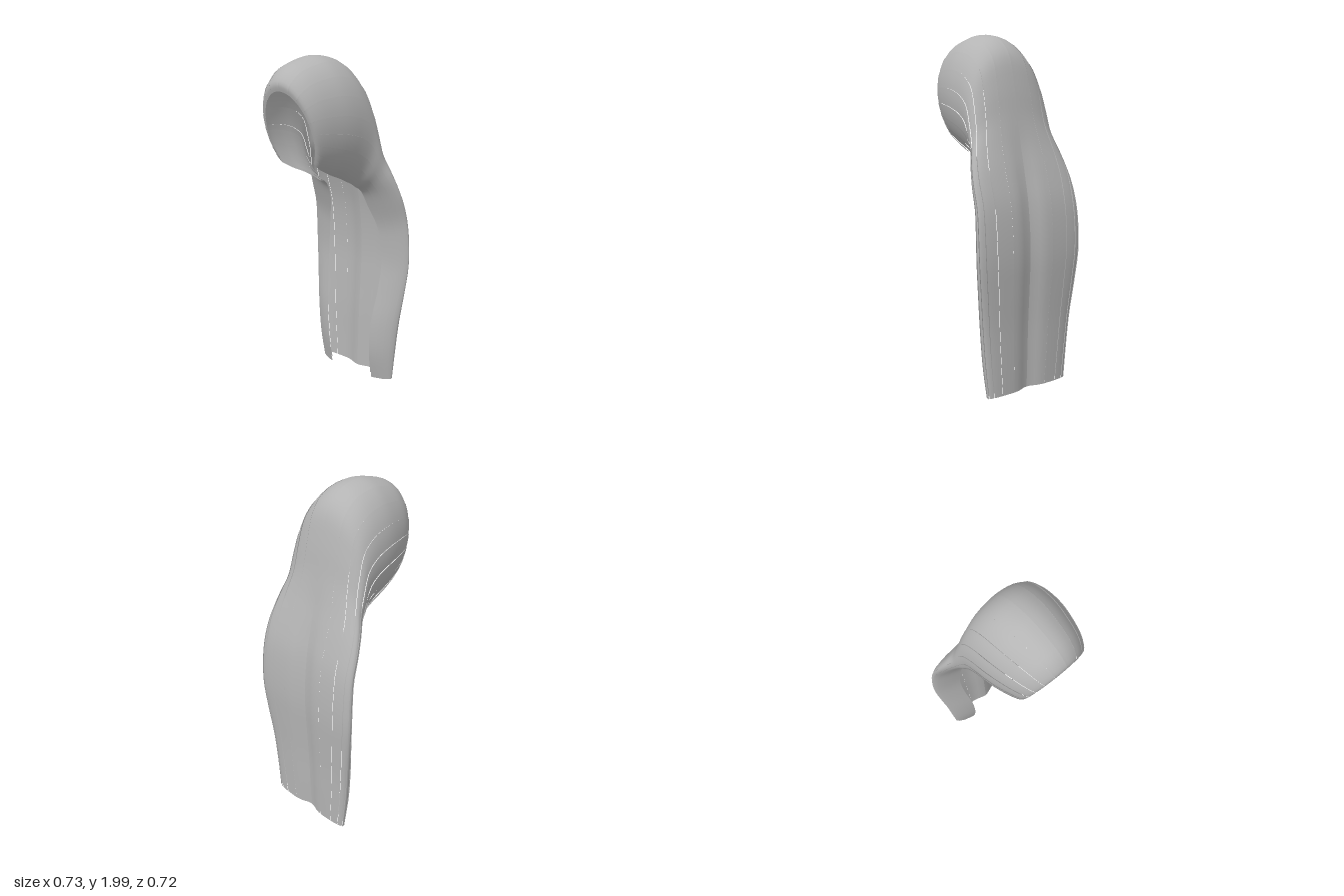
import * as THREE from 'three';

// Sections from face rim over the crown to the hem:
// centre y, centre z, front edge y, front edge z, half width, front edge x
const SECTIONS = [
  [1.83, .36, 1.45, .24, .17, .13],
  [1.88, .365, 1.42, .22, .195, .14],
  [1.95, .3, 1.39, .17, .225, .14],
  [1.99, .18, 1.36, .11, .25, .14],
  [2.0, .08, 1.335, .05, .263, .14],
  [1.97, -.04, 1.31, 0, .268, .14],
  [1.88, -.13, 1.285, -.05, .272, .145],
  [1.72, -.175, 1.26, -.09, .28, .145],
  [1.55, -.205, 1.24, -.13, .29, .14],
  [1.4, -.24, 1.2, -.165, .32, .14],
  [1.25, -.285, 1.12, -.2, .345, .155],
  [1.1, -.325, 1.02, -.235, .355, .19],
  [.95, -.345, .92, -.25, .363, .21],
  [.78, -.352, .77, -.255, .363, .22],
  [.6, -.345, .6, -.235, .345, .21],
  [.4, -.335, .4, -.205, .32, .185],
  [.2, -.33, .2, -.205, .3, .175],
  [.025, -.325, .015, -.24, .28, .165],
];

// Smoothly blended section at v in 0..1
function sectionAt(v) {
  const n = SECTIONS.length - 1;
  const k = Math.min(Math.floor(v * n), n - 1), t = v * n - k;
  const at = (i) => SECTIONS[Math.min(Math.max(i, 0), n)];
  return SECTIONS[0].map((_, c) => {
    const [p, q, r, s] = [at(k - 1)[c], at(k)[c], at(k + 1)[c], at(k + 2)[c]];
    return q + .5 * t * (r - p + t * (2 * p - 5 * q + 4 * r - s + t * (3 * (q - r) + s - p)));
  });
}

// Point on the hair; u runs -1..1 from one front edge round the back to the other
function hairPoint(u, v, inset) {
  const [yc, zc, ye, ze, w, xe] = sectionAt(v);
  const end = Math.PI - Math.asin(xe / w);
  const a = Math.abs(u) * end;
  const curtain = THREE.MathUtils.smoothstep(v, .45, .68);
  // The lower curtain has a flatter back with a shallow centre furrow
  const d = Math.pow((1 - Math.cos(a)) / (1 - Math.cos(end)), 1 + curtain * .9);
  const x = Math.sign(u) * w * Math.sin(a);
  const furrow = .028 * curtain * Math.exp(-Math.pow(x / .06, 2));
  const y = yc + (ye - yc) * d, z = zc + (ze - zc) * d + furrow;
  // Inset moves toward the middle of the section
  const my = (yc + ye) / 2, mz = (zc + ze) / 2;
  return [x * (1 - inset), y + (my - y) * inset, z + (mz - z) * inset];
}

// One lengthwise lock; its edge nearer the parting is raised over its neighbour
function lockGeometry(u0, u1, v0, v1, inset, lift) {
  const cols = 5, rows = 64, pos = [], index = [];
  for (let j = 0; j <= rows; j++) {
    for (let i = 0; i <= cols; i++) {
      const f = i / cols;
      const near = u0 + u1 > 0 ? 1 - f : f;
      const v = v0 + (v1 - v0) * j / rows;
      pos.push(...hairPoint(u0 + (u1 - u0) * f, v, inset + lift * (1 - near)));
      if (i < cols && j < rows) {
        const a = j * (cols + 1) + i, b = a + cols + 1;
        index.push(a, b, a + 1, a + 1, b, b + 1);
      }
    }
  }
  const g = new THREE.BufferGeometry();
  g.setAttribute('position', new THREE.Float32BufferAttribute(pos, 3));
  g.setIndex(index);
  g.computeVertexNormals();
  return g;
}

export function createModel() {
  const group = new THREE.Group();
  group.name = 'longHair';
  const hair = new THREE.MeshStandardMaterial({ color: 0xb4b4b4, side: THREE.DoubleSide });
  hair.name = 'hairGrey';
  const add = (name, ...args) => {
    const mesh = new THREE.Mesh(lockGeometry(...args), hair);
    mesh.name = name;
    group.add(mesh);
  };

  // Outer locks, mirrored about the parting
  const cuts = [0, .16, .3, .43, .55, .66, .76, .85, .93, 1];
  for (const s of [1, -1]) {
    const side = s > 0 ? 'left' : 'right';
    for (let i = 0; i < cuts.length - 1; i++) {
      const a = s * cuts[i], b = s * cuts[i + 1];
      add(side + 'OuterLock' + (i + 1), Math.min(a, b), Math.max(a, b), 0, 1, 0, i ? .014 : .004);
    }
    // Shorter under-locks that thicken the front edges
    for (let i = 0; i < 3; i++) {
      const a = s * (.7 + i * .1), b = s * (.82 + i * .09);
      add(side + 'UnderLock' + (i + 1), Math.min(a, b), Math.max(a, b), .03 + i * .02, .985, .03, .02);
    }
  }
  return group;
}
